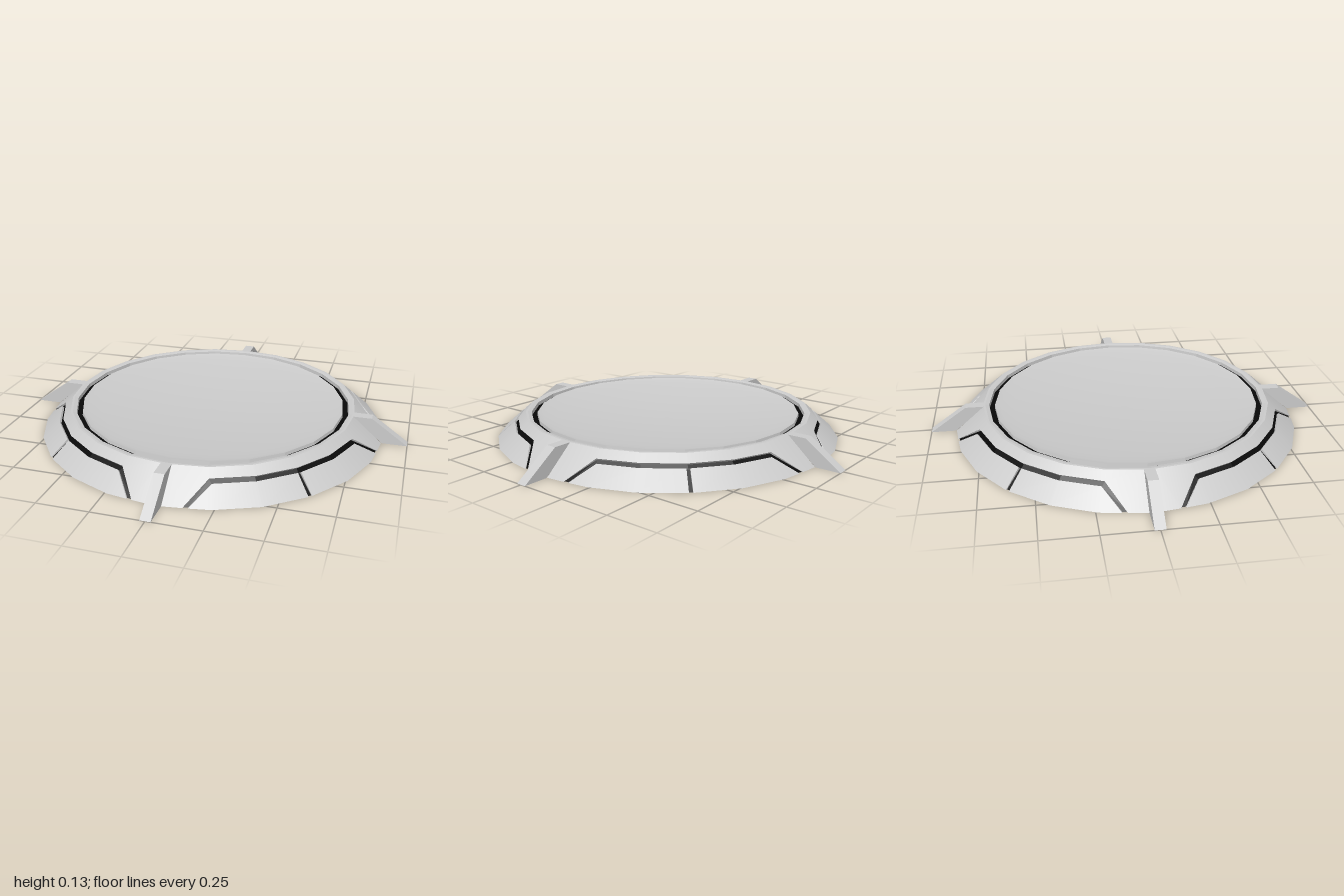
import * as THREE from 'three';
import { mergeGeometries } from 'three/addons/utils/BufferGeometryUtils.js';

const H = 0.126, R0 = 0.878, R1 = 0.733, FIN = 0.025, SIDES = 24;
const OUT = 0.66, UP = 0.75; // slope normal of the skirt
const rad = THREE.MathUtils.degToRad;

const grey = new THREE.MeshStandardMaterial({ color: 0xcccccc, flatShading: true, side: THREE.DoubleSide });
const smoothGrey = new THREE.MeshStandardMaterial({ color: 0xcccccc, side: THREE.DoubleSide });
const black = new THREE.MeshStandardMaterial({ color: 0x080808, flatShading: true, side: THREE.DoubleSide });

// Point on the faceted sloping skirt, at an angle in degrees and a height, sunk by depth
function onSkirt([deg, y, depth = 0]) {
  const step = 360 / SIDES;
  const chord = Math.cos(rad(step / 2)) / Math.cos(rad((deg % step) - step / 2));
  const r = (R0 - (y / H) * (R0 - R1)) * chord - depth * OUT;
  // The bottom edge stays on the ground where a channel runs out
  const sunkY = Math.max(0, y - depth * UP);
  return new THREE.Vector3(r * Math.sin(rad(deg)), sunkY, r * Math.cos(rad(deg)));
}

// Surface between a lower and an upper row of points of equal length
function strip(lower, upper) {
  const pts = [];
  for (let i = 0; i < lower.length - 1; i++) {
    const [a, b, c, d] = [lower[i], lower[i + 1], upper[i + 1], upper[i]];
    pts.push(a, b, c, a, c, d);
  }
  const geo = new THREE.BufferGeometry().setFromPoints(pts);
  geo.computeVertexNormals();
  return geo;
}
const skirtStrip = (lower, upper) => strip(lower.map(onSkirt), upper.map(onSkirt));

// Skirt surface with the smooth normals of a cone
function smoothSkirtStrip(lower, upper) {
  const geo = skirtStrip(lower, upper);
  const { position, normal } = geo.attributes;
  for (let i = 0; i < position.count; i++) {
    const x = position.getX(i), z = position.getZ(i), r = Math.hypot(x, z);
    normal.setXYZ(i, (x / r) * OUT, UP, (z / r) * OUT);
  }
  return geo;
}

function add(parent, name, geo, mat) {
  const mesh = new THREE.Mesh(geo, mat);
  mesh.name = name;
  parent.add(mesh);
}

// Recessed channel between two paths on the skirt: grey walls, dark floor
function addChannel(parent, name, lower, upper) {
  const sink = (path) => path.map(([a, y]) => [a, y, 0.011]);
  const walls = [skirtStrip(lower, sink(lower)), skirtStrip(sink(upper), upper)];
  add(parent, name + 'Walls', mergeGeometries(walls), grey);
  add(parent, name + 'Floor', skirtStrip(sink(lower), sink(upper)), black);
}

function lathe(points) {
  return new THREE.LatheGeometry(points.map(([r, y]) => new THREE.Vector2(r, y)), SIDES);
}

// One quarter of the skirt, between two fins
function skirtQuarter() {
  const q = new THREE.Group();
  q.name = 'skirtQuarter';
  const finTop = THREE.MathUtils.radToDeg(Math.asin(FIN / R1));
  const finLow = THREE.MathUtils.radToDeg(Math.asin(FIN / R0));
  const mids = [30, 45, 60];
  const outer = [[7.6, 0], [15, 0.092], ...mids.map((a) => [a, 0.092]), [75, 0.092], [82.4, 0]];
  const inner = [[9.2, 0], [15.8, 0.076], ...mids.map((a) => [a, 0.076]), [74.2, 0.076], [80.8, 0]];

  const top = [finTop, finTop, 15, 30, 45, 60, 75, 90 - finTop, 90 - finTop].map((a) => [a, H]);
  add(q, 'skirtFrame', smoothSkirtStrip([[finLow, 0], ...outer, [90 - finLow, 0]], top), smoothGrey);
  addChannel(q, 'panelGroove', inner, outer);

  // Two lower panels with a seam between them
  const left = [[9.2, 0], [15.8, 0.076], [30, 0.076], [44.4, 0.076]];
  const right = left.map(([a, y]) => [90 - a, y]).reverse();
  for (const path of [left, right]) {
    add(q, 'skirtPanel', smoothSkirtStrip(path.map(([a]) => [a, 0]), path), smoothGrey);
  }
  const seam = (a) => [[a, 0], [a, 0.076]];
  addChannel(q, 'panelSeam', seam(45.6), seam(44.4));
  return q;
}

// Hollow ramp-shaped fin, open underneath
function finGeometry() {
  const row = (x, pts) => pts.map(([r, y]) => new THREE.Vector3(x, y, r));
  const ridge = [[R1 - 0.01, H], [0.82, H], [1, 0]];
  const low = [[R0, 0], [1, 0]], high = [[R1 - 0.01, H], [0.82, H]];
  return mergeGeometries([
    strip(row(-FIN, ridge), row(FIN, ridge)),
    strip(row(-FIN, low), row(-FIN, high)),
    strip(row(FIN, high), row(FIN, low)),
  ]);
}

export function createModel() {
  const model = new THREE.Group();
  model.name = 'roundHatch';

  for (let i = 0; i < 4; i++) {
    const quarter = skirtQuarter();
    quarter.rotation.y = (i * Math.PI) / 2;
    model.add(quarter);
    const fin = new THREE.Mesh(finGeometry(), grey);
    fin.name = 'fin';
    fin.rotation.y = (i * Math.PI) / 2;
    model.add(fin);
  }

  // Flat rim, then a ring groove with grey walls and a dark floor
  add(model, 'rim', lathe([[R1, H], [0.722, H], [0.703, 0.122], [0.701, 0.104]]), grey);
  add(model, 'rimGrooveFloor', lathe([[0.701, 0.104], [0.675, 0.104]]), black);
  add(model, 'rimGrooveInnerWall', lathe([[0.675, 0.104], [0.673, 0.12]]), grey);

  // Dished centre plate with a slightly steeper border
  const dish = [[0.673, 0.12]];
  for (let i = 0; i <= 10; i++) {
    const t = 1 - i / 10;
    dish.push([0.645 * t, 0.073 + 0.04 * t * t]);
  }
  add(model, 'centrePlate', lathe(dish), smoothGrey);
  return model;
}
